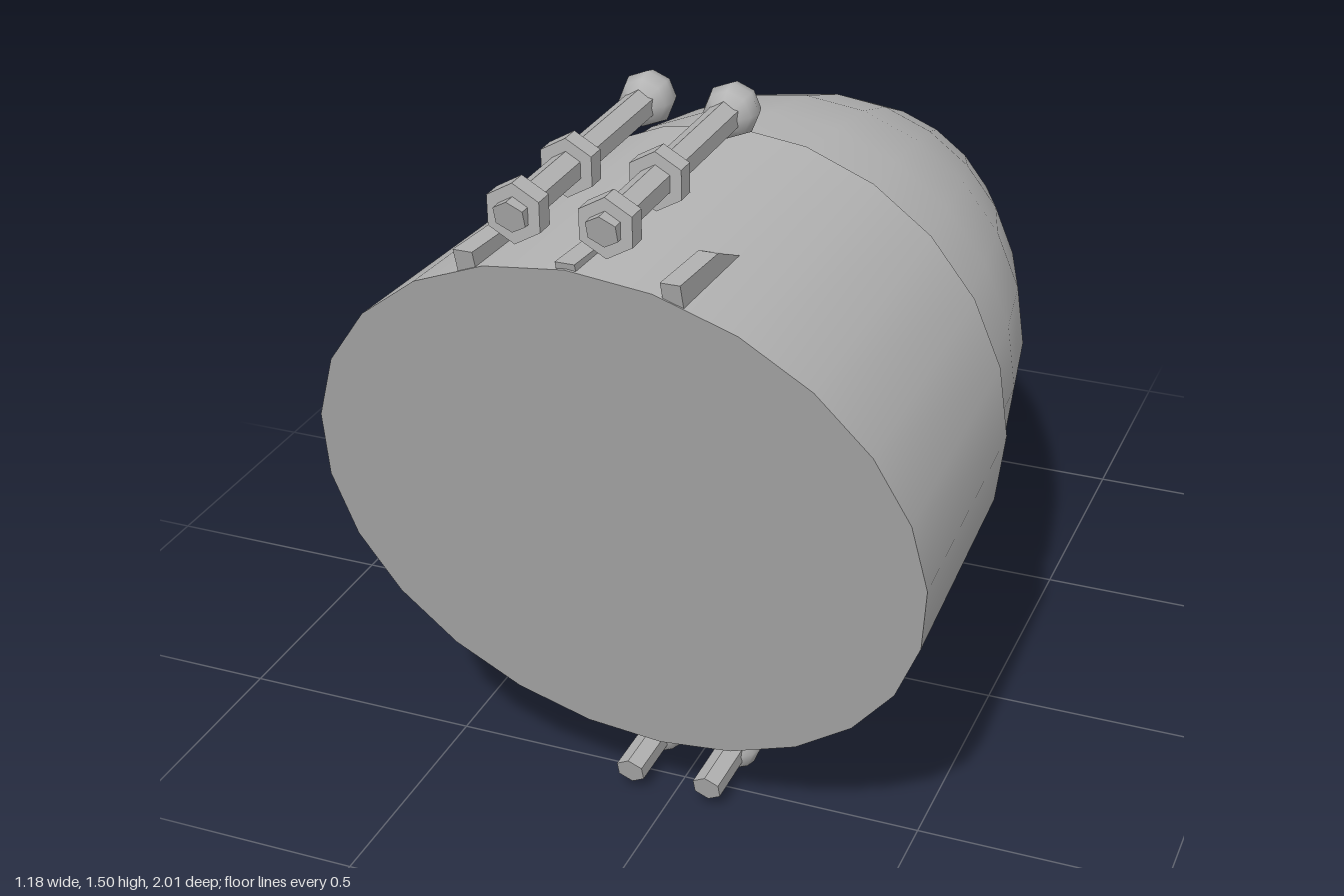
import * as THREE from 'three';

const AXIS_Y = 0.757;   // height of the hull axis
const RAKE = 0.294;     // forward lean of the cut front plane
const FRONT_Z = 0.793;  // where the front plane crosses the hull axis

// Cylinder along z from z0 to the raked front plane, centred on height cy
function rakedCylinder(radius, flare, z0, cy, sides) {
  const g = new THREE.CylinderGeometry(1, 1, 2, sides, 1).rotateX(Math.PI / 2);
  const p = g.attributes.position, n = g.attributes.normal;
  const zMid = FRONT_Z + RAKE * (cy - AXIS_Y);
  const capNormal = new THREE.Vector3(0, -RAKE, 1).normalize();
  for (let i = 0; i < p.count; i++) {
    const x = p.getX(i), y = p.getY(i);
    if (p.getZ(i) > 0) {
      const r = (radius + flare * (zMid - z0)) / (1 - flare * RAKE * y);
      p.setXYZ(i, x * r, y * r, zMid + RAKE * y * r);
      if (n.getZ(i) > 0.9) n.setXYZ(i, 0, capNormal.y, capNormal.z);
    } else {
      p.setXYZ(i, x * radius, y * radius, z0);
    }
  }
  return g.translate(0, cy, 0);
}

function faceted(geometry) {
  const g = geometry.toNonIndexed();
  g.computeVertexNormals();
  return g;
}

export function createModel() {
  const model = new THREE.Group();
  model.name = 'taperedPod';
  const grey = new THREE.MeshStandardMaterial({ color: 0xb4b4b4 });
  grey.name = 'plain grey';

  const add = (name, geometry, parent = model) => {
    const mesh = new THREE.Mesh(geometry, grey);
    mesh.name = name;
    parent.add(mesh);
    return mesh;
  };

  // Flared front shell with the raked flat face
  add('frontShell', rakedCylinder(0.565, 0.045, 0.2, AXIS_Y, 24));

  // Pointed rear cone
  const profile = [[0, -1], [0.2, -0.8], [0.325, -0.6], [0.415, -0.4],
    [0.485, -0.2], [0.523, 0], [0.537, 0.21]].map(([r, z]) => new THREE.Vector2(r, z));
  const nose = new THREE.LatheGeometry(profile, 24).rotateX(Math.PI / 2);
  add('rearCone', nose.translate(0, AXIS_Y, 0));

  // Small fins on the upper lip, drawn in side profile (z, y)
  const finShape = new THREE.Shape([[0.967, 1.36], [0.8, 1.347], [0.7, 1.3], [0.953, 1.312]]
    .map(([z, y]) => new THREE.Vector2(-z, y)));
  const finGeometry = new THREE.ExtrudeGeometry(finShape, { depth: 0.036, bevelEnabled: false })
    .translate(0, 0, -0.018).rotateY(Math.PI / 2);
  for (const [name, x, lift] of [['rightFin', -0.189, 0], ['middleFin', 0, 0.008], ['leftFin', 0.189, 0.001]]) {
    add(name, finGeometry).position.set(x, lift, 0);
  }

  // Two rods above and two short rods below, each ending in a ball
  const ball = new THREE.SphereGeometry(0.053, 8, 6).rotateX(Math.PI / 2);
  const collar = faceted(new THREE.CylinderGeometry(0.055, 0.055, 0.038, 6).rotateX(Math.PI / 2));
  for (const [level, y] of [['upper', 1.45], ['lower', 0.057]]) {
    const rod = faceted(rakedCylinder(0.031, 0, 0.42, y, 6));
    for (const [side, x] of [['Right', -0.083], ['Left', 0.083]]) {
      const group = new THREE.Group();
      group.name = level + side + 'Rod';
      group.position.x = x;
      model.add(group);
      add('rod', rod, group);
      add('ball', ball, group).position.set(0, y, 0.42);
      if (level === 'upper') {
        for (const z of [0.755, 0.962]) add('collar', collar, group).position.set(0, y, z);
      }
    }
  }
  return model;
}
